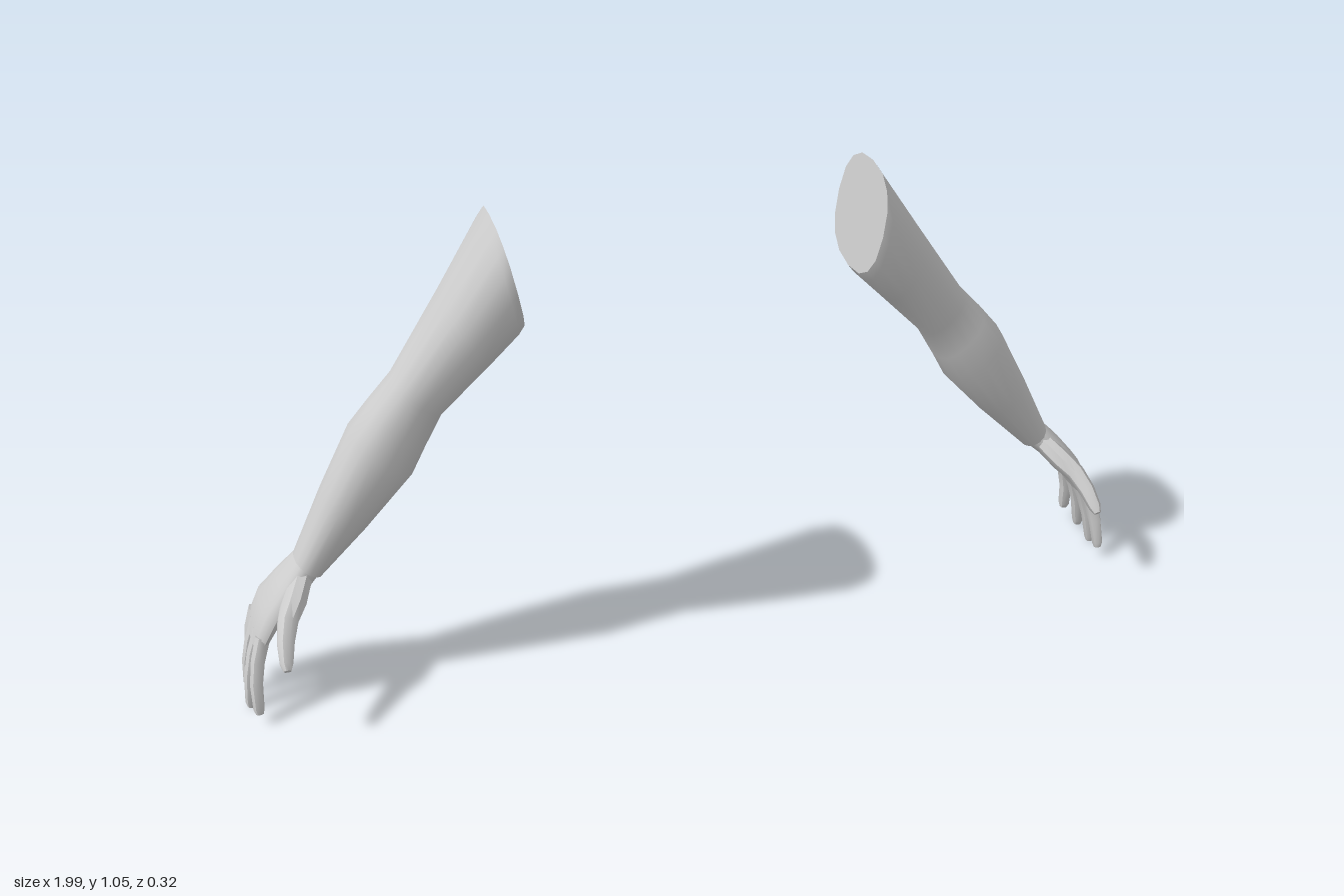
import * as THREE from 'three';
import { toCreasedNormals } from 'three/addons/utils/BufferGeometryUtils.js';

const material = new THREE.MeshStandardMaterial({ color: 0xcccccc });

// Closed ring around centre c, spanned by half-axes u and v (power below 1 squares it off)
function ring(c, u, v, sides, power) {
  const soft = (t) => Math.sign(t) * Math.pow(Math.abs(t), power);
  return Array.from({ length: sides }, (_, i) => {
    const a = (i / sides) * Math.PI * 2;
    return c.clone().addScaledVector(u, soft(Math.cos(a))).addScaledVector(v, soft(Math.sin(a)));
  });
}

// Skin a row of rings, cap both ends; side = -1 mirrors the part in x
function loft(name, rings, side) {
  const n = rings[0].length, last = rings.length - 1;
  const points = rings.flat(), index = [];
  const tri = (a, b, c) => (side > 0 ? index.push(a, b, c) : index.push(a, c, b));
  const centre = (r) => r.reduce((s, p) => s.add(p), new THREE.Vector3()).divideScalar(n);
  const start = points.push(centre(rings[0])) - 1;
  const end = points.push(centre(rings[last])) - 1;
  for (let i = 0; i < n; i++) {
    const j = (i + 1) % n;
    for (let k = 0; k < last; k++) {
      const a = k * n, b = a + n;
      tri(a + i, a + j, b + j);
      tri(a + i, b + j, b + i);
    }
    tri(start, j, i);
    tri(end, last * n + i, last * n + j);
  }
  const geo = new THREE.BufferGeometry().setFromPoints(
    points.map((p) => new THREE.Vector3(p.x * side, p.y, p.z)));
  geo.setIndex(index);
  const mesh = new THREE.Mesh(toCreasedNormals(geo, 0.8), material);
  mesh.name = name;
  return mesh;
}

// Section from its outer and inner edge in xy plus its front and back z
function section([ox, oy, ix, iy, zf, zb]) {
  const c = new THREE.Vector3((ox + ix) / 2, (oy + iy) / 2, (zf + zb) / 2);
  const u = new THREE.Vector3((ox - ix) / 2, (oy - iy) / 2, 0);
  return ring(c, u, new THREE.Vector3(0, 0, (zf - zb) / 2), 16, 0.82);
}

// Tapering finger: rows of x, y, z, half thickness, half width
function digit(name, rows, side) {
  const at = rows.map((r) => new THREE.Vector3(r[0], r[1], r[2]));
  const rings = rows.map((r, i) => {
    const d = at[Math.min(i + 1, at.length - 1)].clone().sub(at[Math.max(i - 1, 0)]).normalize();
    const u = new THREE.Vector3(0.85, 0.53, 0);
    u.addScaledVector(d, -u.dot(d)).normalize();
    const v = d.clone().cross(u);
    return ring(at[i], u.multiplyScalar(r[3]), v.multiplyScalar(r[4]), 8, 0.85);
  });
  return loft(name, rings, side);
}

// outer x, outer y, inner x, inner y, front z, back z
const ARM = [
  [0.402, 1.05, 0.357, 0.815, 0.085, -0.158],
  [0.415, 1.03, 0.37, 0.797, 0.087, -0.16],
  [0.51, 0.885, 0.425, 0.74, 0.068, -0.135],
  [0.62, 0.72, 0.527, 0.632, 0.032, -0.104],
  [0.67, 0.665, 0.565, 0.565, 0.038, -0.108],
  [0.715, 0.61, 0.597, 0.505, 0.046, -0.117],
  [0.785, 0.475, 0.695, 0.395, 0.03, -0.104],
  [0.857, 0.325, 0.802, 0.288, 0.01, -0.083],
];
const PALM = [
  [0.852, 0.332, 0.807, 0.292, 0.008, -0.08],
  [0.895, 0.287, 0.85, 0.255, 0.03, -0.094],
  [0.937, 0.235, 0.895, 0.213, 0.043, -0.108],
  [0.958, 0.185, 0.92, 0.175, 0.039, -0.109],
  [0.966, 0.158, 0.934, 0.153, 0.034, -0.104],
];
// base z, tip x, tip y, tip z
const FINGERS = {
  indexFinger: [0.018, 0.973, 0.027, 0.074],
  middleFinger: [-0.016, 0.985, 0.004, 0.015],
  ringFinger: [-0.053, 0.98, 0.016, -0.041],
  littleFinger: [-0.088, 0.96, 0.043, -0.081],
};
const THUMB = [
  [0.85, 0.288, -0.01, 0.022, 0.032],
  [0.874, 0.265, 0.04, 0.024, 0.034],
  [0.892, 0.25, 0.075, 0.021, 0.023],
  [0.904, 0.226, 0.112, 0.018, 0.018],
  [0.91, 0.2, 0.145, 0.014, 0.013],
  [0.911, 0.19, 0.158, 0.008, 0.008],
];

function buildArm(side) {
  const arm = new THREE.Group();
  arm.name = side > 0 ? 'leftArm' : 'rightArm';
  arm.add(loft('upperArmAndForearm', ARM.map(section), side));

  const hand = new THREE.Group();
  hand.name = 'hand';
  hand.add(loft('palm', PALM.map(section), side));
  hand.add(digit('thumb', THUMB, side));
  // Fingers bow outwards from knuckle to tip
  for (const [name, [bz, tx, ty, tz]] of Object.entries(FINGERS)) {
    const rows = [[0, 0.016, 0.018], [0.3, 0.015, 0.017], [0.6, 0.014, 0.015],
      [0.93, 0.012, 0.013], [1, 0.008, 0.009]].map(([t, thick, wide]) => [
      0.943 + (tx - 0.943) * t + 0.04 * t * (1 - t),
      0.18 + (ty - 0.18) * t, bz + (tz - bz) * t, thick, wide]);
    hand.add(digit(name, rows, side));
  }
  arm.add(hand);
  return arm;
}

export function createModel() {
  const model = new THREE.Group();
  model.name = 'pairOfArms';
  for (const side of [1, -1]) model.add(buildArm(side));
  return model;
}
